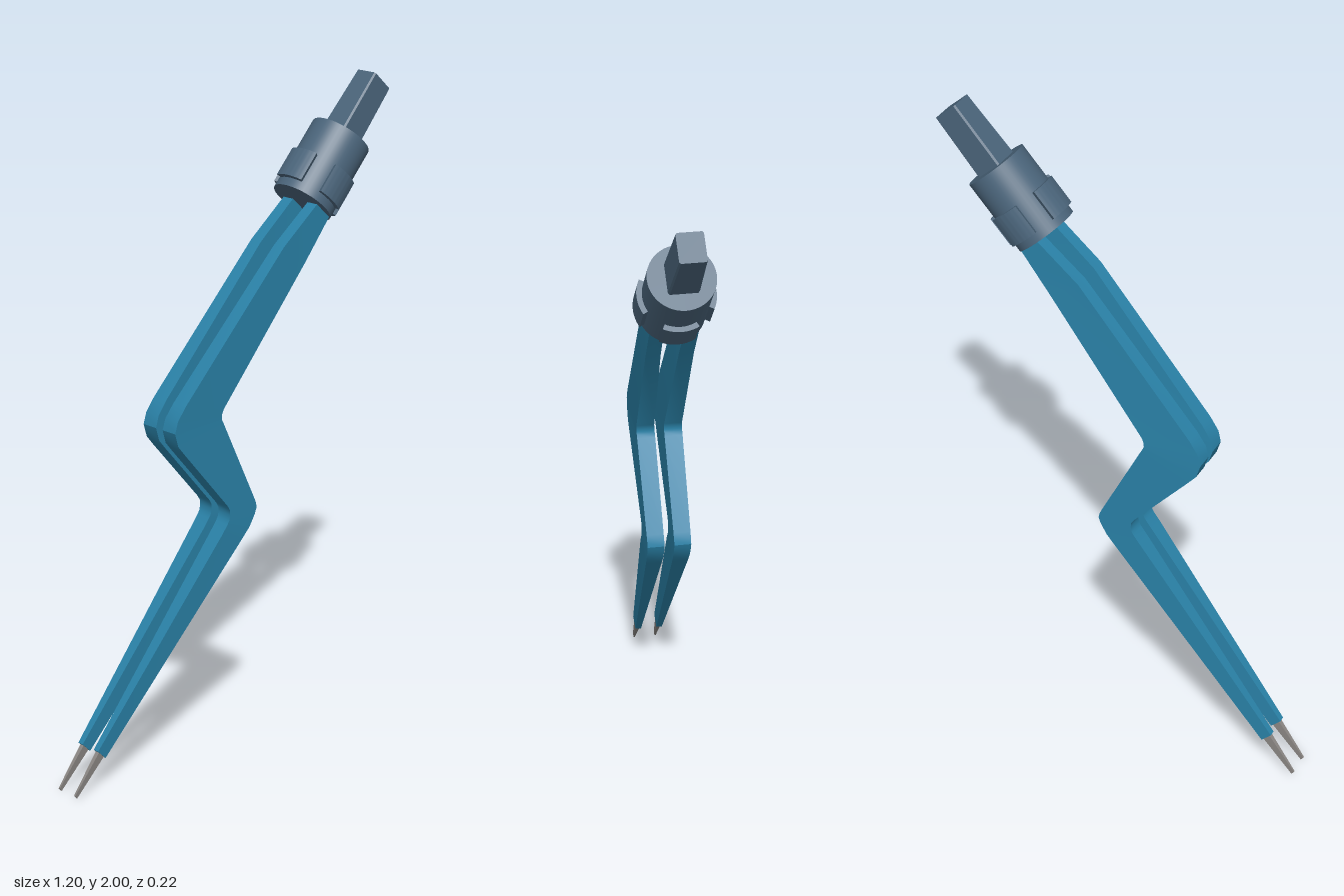
import * as THREE from 'three';
import { toCreasedNormals } from 'three/addons/utils/BufferGeometryUtils.js';

const blue = new THREE.MeshStandardMaterial({ color: 0x2a82a8 });
const slate = new THREE.MeshStandardMaterial({ color: 0x4a647a });
const steel = new THREE.MeshStandardMaterial({ color: 0x8a8683 });

// Outline of an arm as pairs of points: left x, y, right x, y
const ARM = [
  [0.32, 1.69, 0.365, 1.65], [0.28, 1.655, 0.325, 1.605], [0.14, 1.54, 0.23, 1.48],
  [-0.225, 1.13, -0.075, 1.09], [-0.253, 1.09, -0.08, 1.077], [-0.262, 1.055, -0.081, 1.067],
  [-0.25, 1.015, -0.079, 1.058], [-0.225, 0.985, -0.073, 1.047],
  [-0.05, 0.785, 0.055, 0.79], [-0.041, 0.77, 0.064, 0.77], [-0.04, 0.755, 0.067, 0.755],
  [-0.043, 0.74, 0.06, 0.735], [-0.05, 0.728, 0.04, 0.7], [-0.07, 0.702, 0.01, 0.665],
  [-0.52, 0.13, -0.49, 0.1],
];
const TIP = [[-0.505, 0.132, -0.485, 0.112], [-0.516, 0.122, -0.497, 0.103], [-0.6, 0.01, -0.592, 0]];

// Height, centre z of the front arm, centre z of the back arm, half thickness
const DEPTHS = [
  [1.7, 0.052, -0.05, 0.019], [1.5, 0.044, -0.05, 0.021], [1.06, 0.012, -0.07, 0.027],
  [0.7, 0.005, -0.075, 0.025], [0.1, -0.03, -0.099, 0.009], [0, -0.033, -0.103, 0.003],
];

function depthAt(y, column) {
  let i = 0;
  while (i < DEPTHS.length - 2 && y < DEPTHS[i + 1][0]) i++;
  const a = DEPTHS[i], b = DEPTHS[i + 1];
  return THREE.MathUtils.mapLinear(y, a[0], b[0], a[column], b[column]);
}

// Solid strip through rectangular sections, running from top to bottom
function strip(sections, column, thin) {
  const pos = [], index = [];
  for (const [lx, ly, rx, ry] of sections) {
    for (const [x, y, side] of [[lx, ly, 1], [rx, ry, 1], [rx, ry, -1], [lx, ly, -1]]) {
      pos.push(x, y, depthAt(y, column) + side * depthAt(y, 3) * thin);
    }
  }
  const quad = (a, b, c, d) => index.push(a, b, c, a, c, d);
  const last = (sections.length - 1) * 4;
  for (let i = 0; i < last; i += 4) {
    for (let k = 0; k < 4; k++) {
      const n = (k + 1) % 4;
      quad(i + k, i + k + 4, i + n + 4, i + n);
    }
  }
  quad(0, 1, 2, 3);
  quad(last + 3, last + 2, last + 1, last);
  const geo = new THREE.BufferGeometry();
  geo.setAttribute('position', new THREE.Float32BufferAttribute(pos, 3));
  geo.setIndex(index);
  return toCreasedNormals(geo, 0.5);
}

function add(parent, name, geometry, material) {
  const mesh = new THREE.Mesh(geometry, material);
  mesh.name = name;
  parent.add(mesh);
  return mesh;
}

export function createModel() {
  const model = new THREE.Group();
  model.name = 'bayonetForceps';

  // Two bent arms with metal tips
  ['front', 'back'].forEach((name, i) => {
    add(model, name + 'Arm', strip(ARM, i + 1, 1), blue);
    add(model, name + 'Tip', strip(TIP, i + 1, 0.75), steel);
  });

  // Tilted connector, built upright along its own y axis
  const connector = new THREE.Group();
  connector.name = 'connector';
  connector.position.set(0.278, 1.64, 0);
  connector.rotation.z = -0.733;
  model.add(connector);

  const collar = add(connector, 'collar', new THREE.CylinderGeometry(0.094, 0.094, 0.235, 48), slate);
  collar.position.y = 0.1175;

  // Four curved grip pads around the collar
  const pad = new THREE.Shape();
  pad.absarc(0, 0, 0.109, -0.48, 0.48, false);
  pad.absarc(0, 0, 0.088, 0.48, -0.48, true);
  pad.closePath();
  const padGeometry = toCreasedNormals(
    new THREE.ExtrudeGeometry(pad, { depth: 0.093, bevelEnabled: false, curveSegments: 8 }), 0.5);
  padGeometry.rotateX(-Math.PI / 2);
  for (let i = 0; i < 4; i++) {
    const grip = add(connector, 'gripPad' + (i + 1), padGeometry, slate);
    grip.position.y = 0.026;
    grip.rotation.y = i * Math.PI / 2;
  }

  // Tapered plug with slightly chamfered edges
  const w = 0.046, d = 0.043, c = 0.005;
  const section = new THREE.Shape([
    [w, d - c], [w - c, d], [c - w, d], [-w, d - c], [-w, c - d], [c - w, -d], [w - c, -d], [w, c - d],
  ].map(([x, y]) => new THREE.Vector2(x, y)));
  const plug = new THREE.ExtrudeGeometry(section, { depth: 0.206, bevelEnabled: false });
  plug.rotateX(-Math.PI / 2);
  const p = plug.attributes.position;
  for (let i = 0; i < p.count; i++) {
    const t = p.getY(i) / 0.206;
    p.setXYZ(i, p.getX(i) * (1 - 0.06 * t), p.getY(i), p.getZ(i) * (1 - 0.13 * t));
  }
  add(connector, 'plug', toCreasedNormals(plug, 0.4), slate).position.y = 0.233;

  return model;
}
